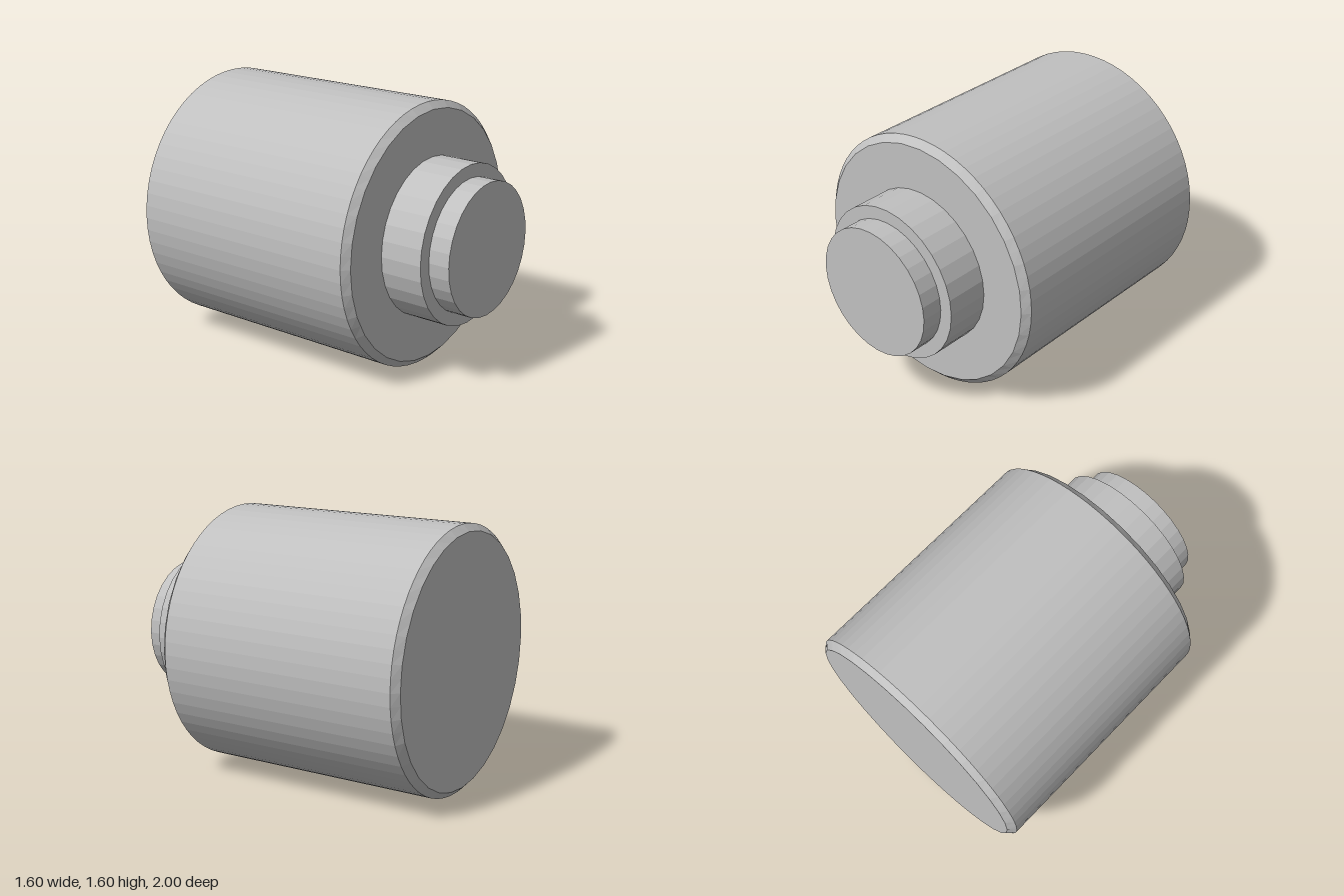
import * as THREE from 'three';

const grey = new THREE.MeshStandardMaterial({ color: 0xc0c0c0, flatShading: true });
grey.name = 'grey';

const R = 0.798; // body radius, also the height of the axis

// Chamfered drum: 64-sided wall whose end faces are 32-sided
function bodyGeometry(back, front, chamfer) {
  const sides = 64;
  const profile = [
    [0, back], [R - chamfer, back], [R, back + chamfer],
    [R, front - chamfer], [R - chamfer, front], [0, front],
  ].map(([r, h]) => new THREE.Vector2(r, h));
  const geometry = new THREE.LatheGeometry(profile, sides);
  const pos = geometry.attributes.position;
  // pull every other rim point onto the chord between its neighbours
  const k = Math.cos((2 * Math.PI) / sides);
  for (let i = 1; i < sides; i += 2) {
    for (const j of [1, 4]) {
      const n = i * profile.length + j;
      pos.setX(n, pos.getX(n) * k);
      pos.setZ(n, pos.getZ(n) * k);
    }
  }
  geometry.rotateX(Math.PI / 2);
  geometry.computeVertexNormals();
  return geometry;
}

// Plain disc along z
function discGeometry(radius, back, front) {
  return new THREE.CylinderGeometry(radius, radius, front - back, 32)
    .rotateX(Math.PI / 2)
    .translate(0, 0, (back + front) / 2);
}

export function createModel() {
  const model = new THREE.Group();
  model.name = 'steppedCylinder';
  const add = (name, geometry) => {
    const mesh = new THREE.Mesh(geometry, grey);
    mesh.name = name;
    mesh.position.y = R;
    model.add(mesh);
  };
  add('body', bodyGeometry(-1, 0.6, 0.04));
  add('collar', discGeometry(0.48, 0.6, 0.867));
  add('nose', discGeometry(0.4, 0.867, 1));
  return model;
}
